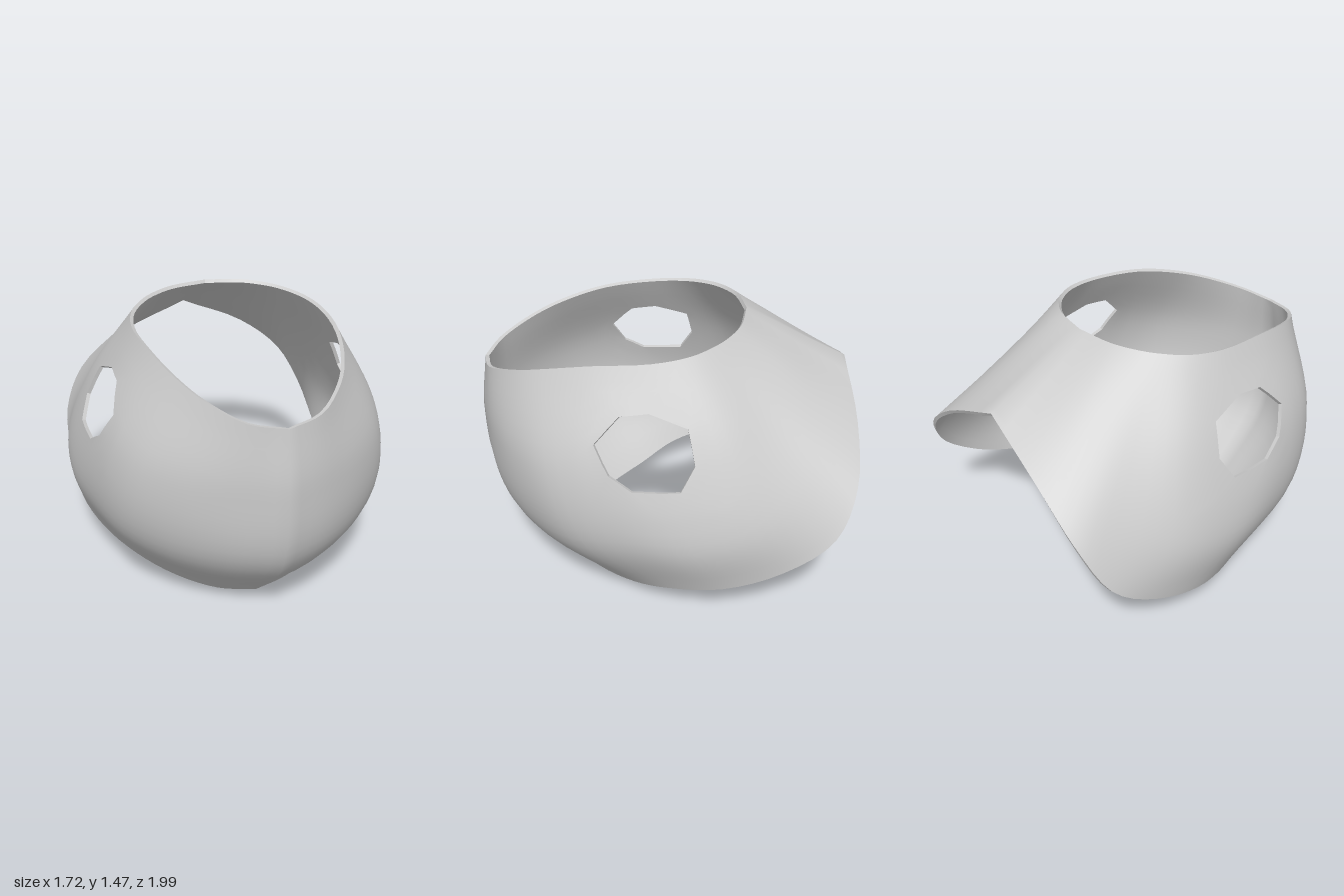
import * as THREE from 'three';

const THICK = 0.02, NU = 40, NV = 20;

// Neck rim: an oval, longer to the front, dipping forward and rising to the back
function neckPoint(t) {
  const c = Math.cos(t), z = .05 + (c > 0 ? .91 : .48) * c;
  return new THREE.Vector3(.525 * Math.sin(t), z > 0 ? 1.41 - .25 * z * z : 1.41 - .14 * z, z);
}

// Upright line of the shell: hem, belly and chest points, then the neck at angle t
const station = (t, ...points) =>
  new THREE.CatmullRomCurve3([...points.map(p => new THREE.Vector3(...p)), neckPoint(t)]);

// Half of the shell, front centre to back centre
const STATIONS = [
  station(0, [0, 0, .54], [0, .42, .94], [0, .84, 1]),
  station(.35, [.2, .015, .485], [.25, .43, .85], [.25, .85, .91]),
  station(.7, [.4, .05, .35], [.5, .44, .68], [.47, .87, .77]),
  station(.95, [.58, .1, .15], [.7, .48, .46], [.65, .9, .57]),
  station(1.25, [.72, .18, -.05], [.81, .54, .17], [.735, .97, .28]),
  station(1.57, [.8, .25, -.32], [.86, .56, -.15], [.74, 1, -.05]),
  station(1.97, [.81, .37, -.62], [.83, .65, -.46], [.7, 1.04, -.33]),
  station(2.29, [.79, .57, -.87], [.69, .85, -.68], [.56, 1.14, -.48]),
  station(2.5, [.67, .8, -.97], [.55, 1.02, -.76], [.43, 1.24, -.55]),
  station(2.75, [.4, 1.02, -.99], [.33, 1.17, -.79], [.27, 1.32, -.59]),
  station(Math.PI, [0, 1.2, -.965], [0, 1.29, -.78], [0, 1.385, -.6]),
];

// Arm hole outline as [z, y], starting at the back and going over the top
const ARM_HOLE = [[-.17, .98], [-.13, 1.14], [.06, 1.205], [.2, 1.19],
  [.32, 1.06], [.25, .92], [.14, .85], [-.09, .855]];

// Curve around the half body at height fraction v
const rowCurve = v => new THREE.CatmullRomCurve3(STATIONS.map(s => s.getPoint(v)));

// Grid coordinates of the arm hole corners, found by nearest sample
function locateHole() {
  const best = ARM_HOLE.map(() => ({ d: Infinity }));
  for (let b = 0; b <= 200; b++) {
    const row = rowCurve(b / 200);
    for (let a = 0; a <= 200; a++) {
      const p = row.getPoint(a / 200);
      ARM_HOLE.forEach(([z, y], k) => {
        const d = Math.hypot(p.z - z, p.y - y);
        if (d < best[k].d) best[k] = { d, i: a / 200 * NU, j: b / 200 * NV };
      });
    }
  }
  return best;
}

function shellGeometry() {
  const hole = locateHole();
  const ci = Math.round(hole.reduce((s, h) => s + h.i, 0) / 8);
  const cj = Math.round(hole.reduce((s, h) => s + h.j, 0) / 8);
  const INNER = 2, OUTER = Math.min(5, NV - cj);

  // Bend the grid so the block around the hole follows its outline
  function warp(i, j) {
    const di = i - ci, dj = j - cj, r = Math.max(Math.abs(di), Math.abs(dj));
    if (r >= OUTER || r < INNER) return [i, j];
    const s = (Math.atan2(dj, di) / (Math.PI / 4) + 8) % 8;
    const k = Math.floor(s), f = s - k, h0 = hole[k], h1 = hole[(k + 1) % 8];
    const hi = h0.i + (h1.i - h0.i) * f, hj = h0.j + (h1.j - h0.j) * f;
    const t = (r - INNER) / (OUTER - INNER);
    const oi = ci + di / r * OUTER, oj = cj + dj / r * OUTER;
    return [hi + (oi - hi) * t, hj + (oj - hj) * t];
  }

  // Outer skin, mirrored about x = 0 into a closed ring
  const ring = 2 * NU, pos = [], idx = [];
  for (let j = 0; j <= NV; j++) {
    const half = [];
    for (let i = 0; i <= NU; i++) {
      const [u, v] = warp(i, j);
      half.push(rowCurve(v / NV).getPoint(u / NU));
    }
    for (let k = 0; k < ring; k++) {
      const p = half[k <= NU ? k : ring - k];
      pos.push(k <= NU ? p.x : -p.x, p.y, p.z);
    }
  }
  for (let j = 0; j < NV; j++) for (let k = 0; k < ring; k++) {
    const i = k < NU ? k : ring - 1 - k;
    if (i >= ci - INNER && i < ci + INNER && j >= cj - INNER && j < cj + INNER) continue;
    const a = j * ring + k, b = j * ring + (k + 1) % ring, c = b + ring, d = a + ring;
    idx.push(a, b, c, a, c, d);
  }
  const skin = new THREE.BufferGeometry();
  skin.setAttribute('position', new THREE.Float32BufferAttribute(pos, 3));
  skin.setIndex(idx);
  skin.computeVertexNormals();
  const nor = skin.attributes.normal.array;

  // Inner lining, set in along the normals
  const inn = pos.map((p, n) => p - nor[n] * THICK), flipped = [];
  for (let t = 0; t < idx.length; t += 3) flipped.push(idx[t], idx[t + 2], idx[t + 1]);
  const lining = new THREE.BufferGeometry();
  lining.setAttribute('position', new THREE.Float32BufferAttribute(inn, 3));
  lining.setIndex(flipped);
  lining.computeVertexNormals();

  // Walls on every open edge: hem, neck and arm holes
  const edges = new Set(), wall = [];
  for (let t = 0; t < idx.length; t += 3)
    for (let e = 0; e < 3; e++) edges.add(idx[t + e] + '_' + idx[t + (e + 1) % 3]);
  const at = (arr, n) => arr.slice(3 * n, 3 * n + 3);
  for (const key of edges) {
    const [a, b] = key.split('_').map(Number);
    if (edges.has(b + '_' + a)) continue;
    const A = at(pos, a), B = at(pos, b), C = at(inn, b), D = at(inn, a);
    wall.push(...B, ...A, ...D, ...B, ...D, ...C);
  }
  const border = new THREE.BufferGeometry();
  border.setAttribute('position', new THREE.Float32BufferAttribute(wall, 3));
  border.computeVertexNormals();
  return { outerSkin: skin, innerLining: lining, openingEdges: border };
}

export function createModel() {
  const group = new THREE.Group();
  group.name = 'sleevelessShell';
  const material = new THREE.MeshStandardMaterial({ color: 0xcccccc });
  for (const [name, geometry] of Object.entries(shellGeometry())) {
    const mesh = new THREE.Mesh(geometry, material);
    mesh.name = name;
    group.add(mesh);
  }
  return group;
}
